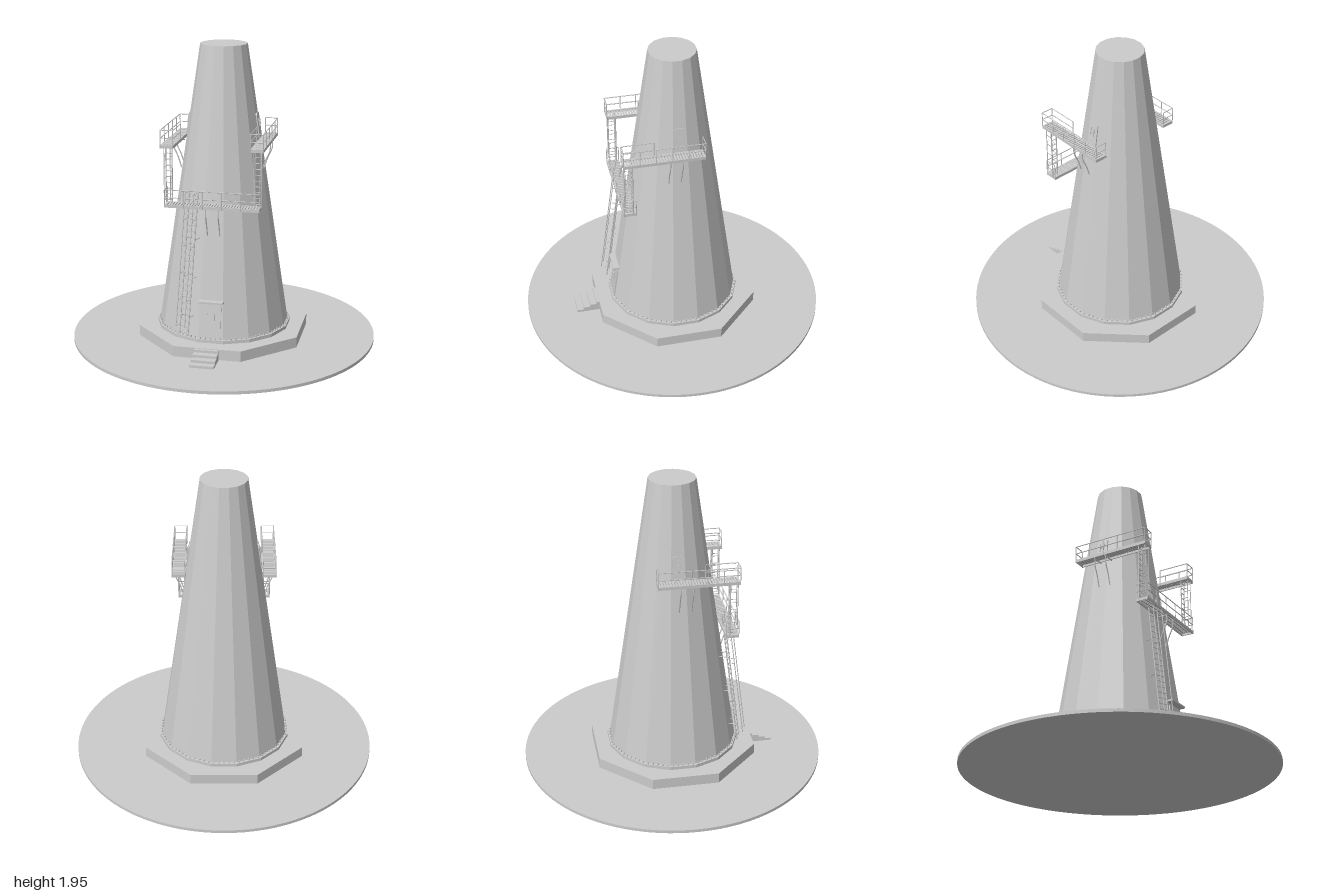
import * as THREE from 'three';
import { mergeGeometries } from 'three/addons/utils/BufferGeometryUtils.js';

const material = new THREE.MeshStandardMaterial({ color: 0xcccccc });
const flat = new THREE.MeshStandardMaterial({ color: 0xcccccc, flatShading: true });
const V = (x, y, z) => new THREE.Vector3(x, y, z);

const SLOPE = 0.1454;                                  // inward lean of the tower wall
const wall = (y) => 0.417 - SLOPE * (y - 0.1);         // distance from axis to a facet centre

function mesh(name, geometry, mat = material) {
  const m = new THREE.Mesh(geometry, mat);
  m.name = name;
  return m;
}
function group(name, ...children) {
  const g = new THREE.Group();
  g.name = name;
  if (children.length) g.add(...children);
  return g;
}
const merged = (name, parts) => mesh(name, mergeGeometries(parts));
const box = (w, h, d, x, y, z) => new THREE.BoxGeometry(w, h, d).translate(x, y, z);

// Round bar between two points
function bar(a, b, r = 0.003) {
  const dir = b.clone().sub(a);
  const g = new THREE.CylinderGeometry(r, r, dir.length(), 6);
  g.applyQuaternion(new THREE.Quaternion().setFromUnitVectors(V(0, 1, 0), dir.normalize()));
  const mid = a.clone().add(b).multiplyScalar(0.5);
  return g.translate(mid.x, mid.y, mid.z);
}

// Prism with flat faces on the axes
function prism(name, sides, topApothem, bottomApothem, y0, y1) {
  const k = 1 / Math.cos(Math.PI / sides);
  const g = new THREE.CylinderGeometry(topApothem * k, bottomApothem * k, y1 - y0, sides);
  g.rotateY(Math.PI / sides).translate(0, (y0 + y1) / 2, 0);
  return mesh(name, g, flat);
}

// Grated walkway along x, outer side at +z; dir marks the open inner rail end
function walkway(name, L, W, struts, dir) {
  const floor = [], rail = [], support = [];
  for (const z of [-W / 2, W / 2]) floor.push(box(L, 0.02, 0.006, 0, 0.01, z * 0.96));
  for (const x of [-L / 2, L / 2]) floor.push(box(0.006, 0.02, W, x * 0.99, 0.01, 0));
  const slats = Math.round(L / 0.018);
  for (let i = 0; i < slats; i++)
    floor.push(box(0.012, 0.006, W, -L / 2 + (i + 0.5) * L / slats, 0.017, 0));

  const posts = 5, top = 0.115;
  for (let i = 0; i <= posts; i++) {
    const x = -L / 2 + i * L / posts;
    rail.push(bar(V(x, 0, W / 2), V(x, top, W / 2)));
  }
  for (const y of [0.065, top]) {
    rail.push(bar(V(-L / 2, y, W / 2), V(L / 2, y, W / 2)));
    for (const x of [-L / 2, L / 2]) rail.push(bar(V(x, y, -W / 2), V(x, y, W / 2)));
    if (dir) rail.push(bar(V(dir * L / 2, y, -W / 2), V(dir * L * 0.1, y, -W / 2)));
  }
  const innerPosts = dir ? [-L / 2, L / 2, dir * L * 0.1] : [-L / 2, L / 2];
  for (const x of innerPosts) rail.push(bar(V(x, 0, -W / 2), V(x, top, -W / 2)));

  // Curved brackets down to the wall
  for (const x of struts) {
    const curve = new THREE.CatmullRomCurve3(
      [V(x, 0, 0.032), V(x, -0.05, 0.03), V(x, -0.12, 0), V(x, -0.19, -0.022)]);
    support.push(new THREE.TubeGeometry(curve, 12, 0.004, 6));
    support.push(bar(V(x, -0.004, W / 2), V(x, -0.004, -W / 2 - 0.005), 0.004));
  }
  return group(name, merged('grating', floor), merged('railing', rail), merged('brackets', support));
}

// Ladder in the y-z plane: stringers from (y0,z0) to (y1,z1), handrails offset outward
function ladder(name, y0, z0, y1, z1, half, offset, rungs) {
  const parts = [];
  const at = (t, x, dz = 0) => V(x, y0 + (y1 - y0) * t, z0 + (z1 - z0) * t + dz);
  for (const x of [-half, half]) {
    parts.push(bar(at(0, x), at(1, x), 0.004));
    parts.push(bar(at(0.07, x, offset), at(1, x, offset)));
    for (let i = 0; i <= 5; i++) {
      const t = 0.07 + 0.93 * i / 5;
      parts.push(bar(at(t, x), at(t, x, offset), 0.0025));
    }
  }
  for (let i = 0; i < rungs; i++) {
    const t = (i + 0.5) / rungs;
    parts.push(bar(at(t, -half), at(t, half)));
  }
  return merged(name, parts);
}

// Panel with rounded top corners
function panel(w, h, r, depth) {
  const s = new THREE.Shape();
  s.moveTo(-w / 2, 0);
  s.lineTo(w / 2, 0);
  s.lineTo(w / 2, h - r);
  s.absarc(w / 2 - r, h - r, r, 0, Math.PI / 2);
  s.absarc(-w / 2 + r, h - r, r, Math.PI / 2, Math.PI);
  return new THREE.ExtrudeGeometry(s, { depth, bevelEnabled: false, curveSegments: 5 });
}

// Door lying on the sloping wall, turned to a facet
function door(name, y, w, h, angle) {
  const lean = group('leaningDoor', mesh('doorPanel', panel(w, h, w * 0.2, 0.007)));
  lean.add(merged('doorHandle', [
    box(0.006, 0.05, 0.006, -w * 0.18, h * 0.62, 0.012),
    box(0.006, 0.05, 0.006, w * 0.18, h * 0.62, 0.012),
    box(w * 0.4, 0.006, 0.006, 0, h * 0.62, 0.012),
  ]));
  lean.position.set(0, y, wall(y));
  lean.rotation.x = -Math.atan(SLOPE);
  const g = group(name, lean);
  g.rotation.y = angle;
  return g;
}

export function createModel() {
  const model = group('tower');

  // Ground disc, plinth and tower body
  model.add(mesh('groundDisc', new THREE.CylinderGeometry(1, 1, 0.02, 96).translate(0, 0.01, 0)));
  model.add(prism('plinth', 8, 0.525, 0.525, 0.02, 0.09));
  model.add(prism('baseFlange', 16, 0.432, 0.432, 0.09, 0.112));
  model.add(prism('towerBody', 16, wall(1.95), wall(0.1), 0.1, 1.95));

  // Bolts around the flange, five to a facet
  const bolts = [];
  for (let side = 0; side < 16; side++)
    for (let i = 0; i < 5; i++)
      bolts.push(new THREE.CylinderGeometry(0.005, 0.006, 0.014, 6)
        .translate((i - 2) * 0.033, 0.117, 0.422)
        .rotateY(side * Math.PI / 8));
  model.add(merged('flangeBolts', bolts));

  // Front steps
  const steps = [];
  for (let i = 0; i < 4; i++) {
    const depth = 0.155 - i * 0.044;
    steps.push(box(0.155, 0.0165, depth, 0, 0.028 + i * 0.0165, 0.522 + depth / 2));
  }
  model.add(merged('frontSteps', steps));

  // Entrance door with canopy
  model.add(door('frontDoor', 0.113, 0.13, 0.228, 0));
  model.add(mesh('doorCanopy', box(0.16, 0.012, 0.05, 0, 0.355, wall(0.355) + 0.016)));

  // Lower walkway and main ladder
  const lower = walkway('lowerWalkway', 0.605, 0.08, [-0.04, 0.04], 0);
  lower.position.set(0, 0.957, 0.337);
  model.add(lower);
  const main = ladder('mainLadder', 0.13, 0.455, 1.05, 0.335, 0.033, 0.045, 24);
  main.rotation.y = -Math.PI / 8;
  model.add(main);
  const ties = [];
  for (const y of [0.25, 0.5, 0.75])
    for (const x of [-0.033, 0.033])
      ties.push(bar(V(x, y, wall(y) - 0.01), V(x, y, 0.455 - 0.13 * (y - 0.13))));
  const standoffs = merged('ladderStandoffs', ties);
  standoffs.rotation.y = -Math.PI / 8;
  model.add(standoffs);

  // Side walkways, their doors and ladders, mirrored
  for (const s of [1, -1]) {
    const side = s > 0 ? 'left' : 'right';
    const upper = walkway(side + 'Walkway', 0.515, 0.08, [s * 0.0375, s * 0.1175], -s);
    upper.rotation.y = s * Math.PI / 2;
    upper.position.set(s * 0.285, 1.337, 0.1175);
    model.add(upper);
    model.add(door(side + 'Hatch', 1.358, 0.075, 0.155, s * Math.PI / 2));
    const link = ladder(side + 'Ladder', 0.975, 0.317, 1.35, 0.317, 0.02, 0.048, 10);
    link.position.x = s * 0.285;
    model.add(link);
  }
  return model;
}
